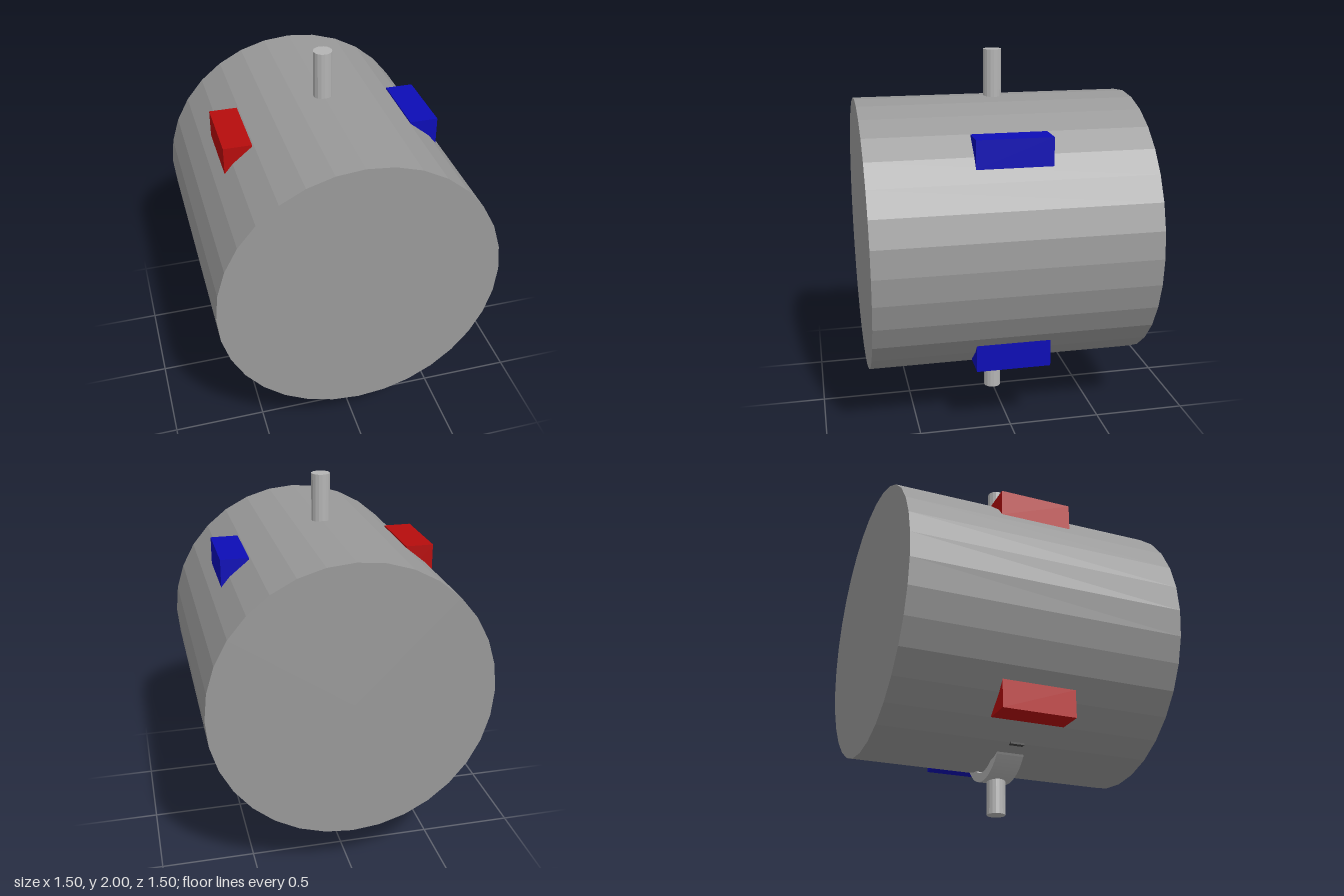
import * as THREE from 'three';

const paint = (color) => new THREE.MeshStandardMaterial({ color, flatShading: true });

export function createModel() {
  const model = new THREE.Group();
  const midGrey = paint(0x999999);
  const lightGrey = paint(0xb4b4b4);
  const darkGrey = paint(0x444444);
  const red = paint(0xb60c0c);
  const blue = paint(0x0c0cb6);

  const add = (name, geometry, material, x, y, z) => {
    const mesh = new THREE.Mesh(geometry, material);
    mesh.name = name;
    mesh.position.set(x, y, z);
    model.add(mesh);
  };

  // Main drum lying along z, with a corner on each axis
  const drum = new THREE.CylinderGeometry(0.75, 0.75, 1.5, 32).rotateX(Math.PI / 2);
  add('drum', drum, midGrey, 0, 1, 0);

  // Vertical rod passing through the drum
  add('rod', new THREE.CylinderGeometry(0.05, 0.05, 2, 16), lightGrey, 0, 1, 0);

  // Four side blocks: blue on the left, red on the right
  const block = new THREE.BoxGeometry(0.15, 0.15, 0.4);
  for (const side of [1, -1]) {
    for (const [level, y] of [['upper', 1.55], ['lower', 0.45]]) {
      const name = level + (side > 0 ? 'LeftBlock' : 'RightBlock');
      add(name, block, side > 0 ? blue : red, side * 0.5, y, 0);
    }
  }

  // Curved bracket hanging under the drum
  const arc = new THREE.Shape();
  arc.absarc(0, 0, 0.25, Math.PI, Math.PI * 2, false);
  arc.absarc(0, 0, 0.2, Math.PI * 2, Math.PI, true);
  const bracket = new THREE.ExtrudeGeometry(arc, { depth: 0.15, bevelEnabled: false, curveSegments: 16 });
  add('bracket', bracket.translate(0, 0, -0.075), lightGrey, 0, 0.43, 0);

  // Dark cross bar whose ends just break the drum's underside
  add('crossBar', new THREE.BoxGeometry(0.586, 0.08, 0.076), darkGrey, 0, 0.34, 0);

  return model;
}
